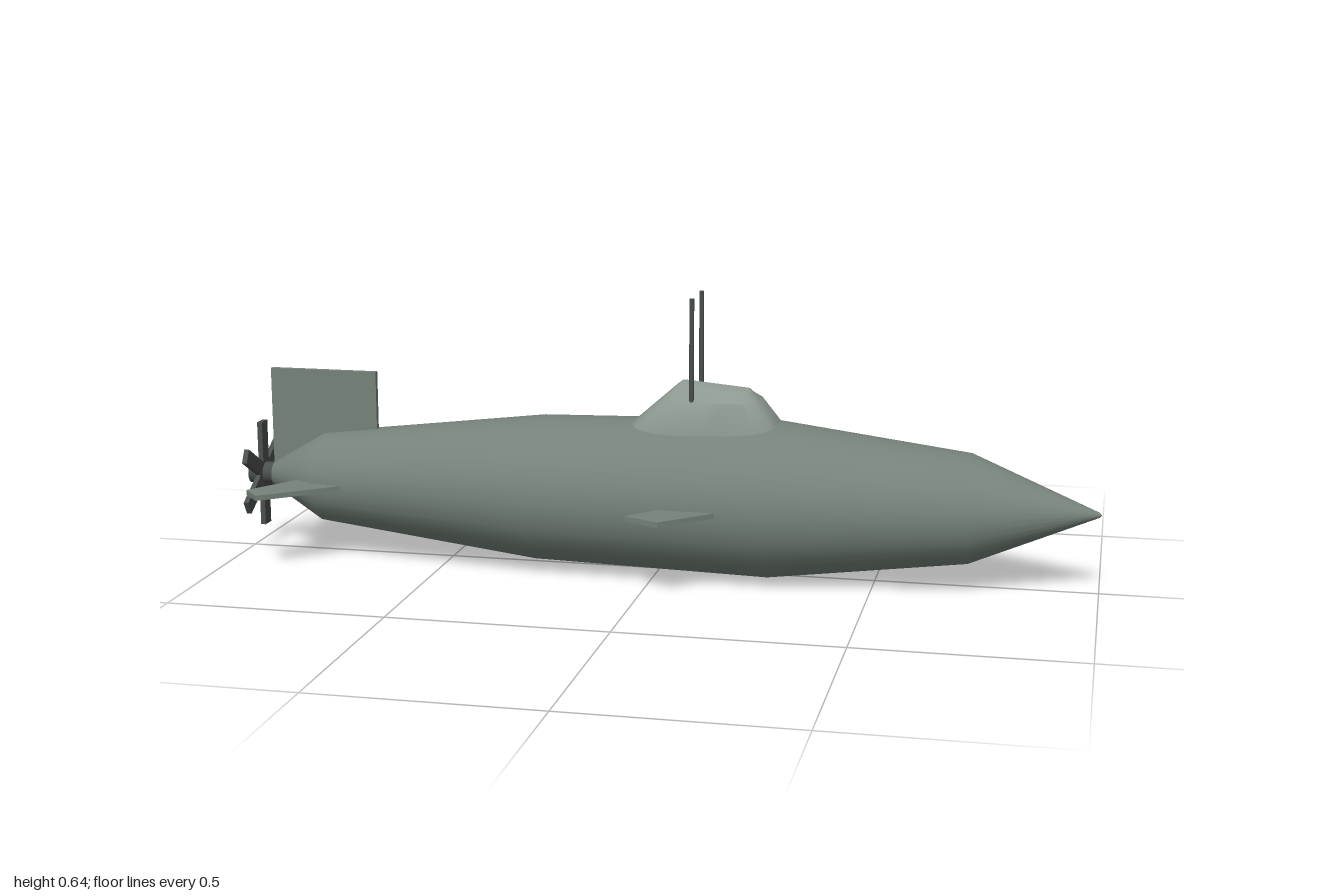
import * as THREE from 'three';
import { toCreasedNormals } from 'three/addons/utils/BufferGeometryUtils.js';

const AXIS_Y = 0.182;
const paint = (color) => new THREE.MeshStandardMaterial({ color });

export function createModel() {
  const model = new THREE.Group();
  const hullPaint = paint(0x75827a);
  const towerPaint = paint(0x8c9890);
  const darkPaint = paint(0x4a504d);

  const add = (name, geometry, material, x = 0, y = 0, z = 0, parent = model) => {
    const mesh = new THREE.Mesh(geometry, material);
    mesh.name = name;
    mesh.position.set(x, y, z);
    parent.add(mesh);
    return mesh;
  };

  // Hull: a turned profile (radius, position along x), slightly flattened in height
  const profile = [[0, -0.94], [0.03, -0.94], [0.11, -0.81], [0.176, -0.28],
    [0.189, 0.26], [0.13, 0.71], [0.006, 0.995], [0, 1]]
    .map(([r, x]) => new THREE.Vector2(r, x));
  const hull = add('hull', new THREE.LatheGeometry(profile, 32), hullPaint, 0, AXIS_Y, 0);
  hull.rotation.z = -Math.PI / 2;
  hull.scale.x = 0.955;

  // Conning tower
  add('conningTower', towerGeometry(), towerPaint);

  // Twin masts beside the tower
  for (const side of [1, -1]) {
    add(side > 0 ? 'frontMast' : 'backMast',
      new THREE.CylinderGeometry(0.0055, 0.0055, 0.245, 10), darkPaint, 0.085, 0.5225, side * 0.058);
  }

  // Swept horizontal fins, mirrored to both sides
  const fins = {
    midFin: [[0.07, 0.14], [0.21, 0.14], [0.055, 0.289], [-0.027, 0.25]],
    tailFin: [[-0.82, 0.03], [-0.65, 0.05], [-0.89, 0.248], [-0.932, 0.2]],
  };
  for (const [name, corners] of Object.entries(fins)) {
    for (const side of [1, -1]) {
      const shape = new THREE.Shape(corners.map(([x, z]) => new THREE.Vector2(x, z * side)));
      const geometry = new THREE.ExtrudeGeometry(shape, { depth: 0.012, bevelEnabled: false });
      geometry.rotateX(Math.PI / 2);
      add(name, geometry, hullPaint, 0, AXIS_Y + 0.006, 0);
    }
  }

  // Upright rudder
  add('rudder', new THREE.BoxGeometry(0.26, 0.24, 0.013), hullPaint, -0.81, 0.318, 0);

  // Propeller: hub and six flat blades
  const propeller = new THREE.Group();
  propeller.name = 'propeller';
  propeller.position.set(-0.97, AXIS_Y, 0);
  model.add(propeller);
  const hub = add('propellerHub', new THREE.CylinderGeometry(0.026, 0.026, 0.06, 16), darkPaint, 0, 0, 0, propeller);
  hub.rotation.z = Math.PI / 2;
  for (let i = 0; i < 6; i++) {
    const geometry = new THREE.BoxGeometry(0.012, 0.115, 0.034);
    geometry.translate(0, 0.0675, 0);
    add('propellerBlade', geometry, darkPaint, 0, 0, 0, propeller).rotation.x = i * Math.PI / 3;
  }
  return model;
}

// Rounded-rectangle rings stacked upward and closed along a sloping ridge
function towerGeometry() {
  const rings = [ // height, back x, front x, half width
    [0.3, -0.085, 0.3, 0.087],
    [0.35, -0.06, 0.283, 0.085],
    [0.41, 0.008, 0.237, 0.064],
    [0.44, 0.042, 0.216, 0.034],
    [0.45, 0.055, 0.21, 0.002],
  ];
  const n = 32;
  const power = (v) => Math.sign(v) * Math.abs(v) ** 0.6;
  const positions = [];
  const index = [];
  rings.forEach(([y, back, front, width], j) => {
    for (let i = 0; i < n; i++) {
      const a = (i / n) * Math.PI * 2;
      const x = (back + front) / 2 + ((front - back) / 2) * power(Math.cos(a));
      const slope = j > 2 ? 0.09 * Math.max(0, x - 0.055) : 0;
      positions.push(x, y - slope, width * power(Math.sin(a)));
      if (j === 0) continue;
      const k = (i + 1) % n;
      const low = (j - 1) * n;
      const high = j * n;
      index.push(low + i, high + i, low + k, low + k, high + i, high + k);
    }
  });
  // Close the narrow ridge
  const top = (rings.length - 1) * n;
  for (let i = 1; i < n - 1; i++) index.push(top, top + i + 1, top + i);
  const geometry = new THREE.BufferGeometry();
  geometry.setAttribute('position', new THREE.Float32BufferAttribute(positions, 3));
  geometry.setIndex(index);
  return toCreasedNormals(geometry, 0.6);
}
